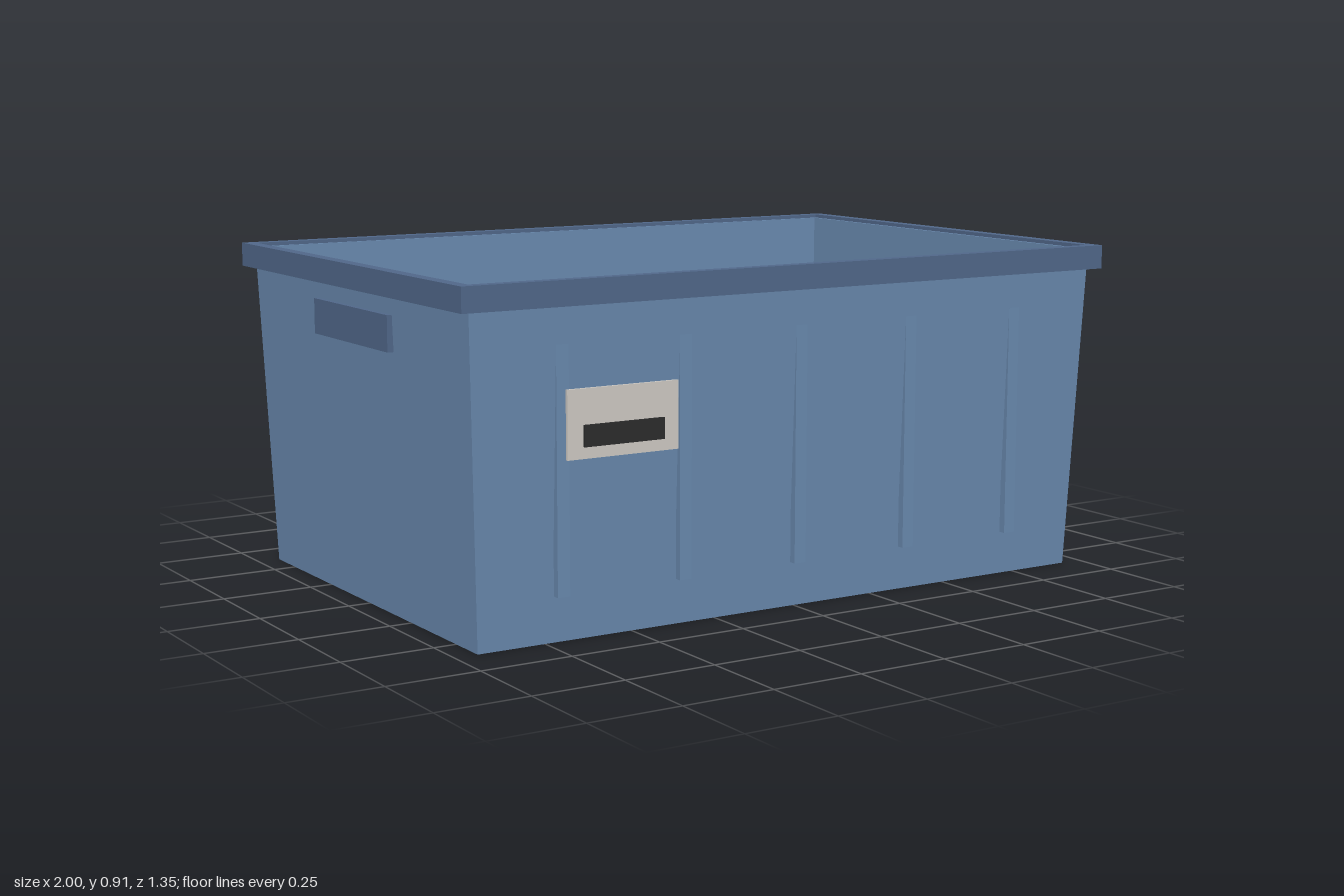
import * as THREE from 'three';
import { RoundedBoxGeometry } from 'three/addons/geometries/RoundedBoxGeometry.js';

const mat = (name, color) => {
  const m = new THREE.MeshStandardMaterial({ color });
  m.name = name;
  return m;
};

// Skin between successive rectangles [halfX, y, halfZ], with flat faces.
function rectangleLoft(rings) {
  const corners = [[1, 1], [1, -1], [-1, -1], [-1, 1]];
  const positions = [];
  const point = ([hx, y, hz], k) => [hx * corners[k % 4][0], y, hz * corners[k % 4][1]];
  for (let i = 0; i < rings.length - 1; i++) {
    for (let k = 0; k < 4; k++) {
      const a = point(rings[i], k), b = point(rings[i], k + 1);
      const c = point(rings[i + 1], k + 1), d = point(rings[i + 1], k);
      if (rings[i][0] > 0) positions.push(...a, ...b, ...c);
      if (rings[i + 1][0] > 0) positions.push(...a, ...c, ...d);
    }
  }
  const geometry = new THREE.BufferGeometry();
  geometry.setAttribute('position', new THREE.Float32BufferAttribute(positions, 3));
  geometry.computeVertexNormals();
  return geometry;
}

export function createModel() {
  const group = new THREE.Group();
  group.name = 'storageBin';

  const shellBlue = mat('shell blue', 0x6888ad);
  const rimBlue = mat('rim blue', 0x506789);
  const cardboard = mat('cardboard tan', 0xb09572);
  const red = mat('red', 0xc54f47);
  const paleGrey = mat('pale grey', 0xcdc9c3);
  const brightBlue = mat('bright blue', 0x4d80bd);
  const black = mat('black', 0x2b2b2b);

  const add = (name, geometry, material, x = 0, y = 0, z = 0) => {
    const mesh = new THREE.Mesh(geometry, material);
    mesh.name = name;
    mesh.position.set(x, y, z);
    group.add(mesh);
  };
  // Box given by its limits on each axis
  const addBox = (name, material, [x0, x1], [y0, y1], [z0, z1], bevel = 0) => {
    const size = [x1 - x0, y1 - y0, z1 - z0];
    const geometry = bevel
      ? new RoundedBoxGeometry(...size, 2, bevel)
      : new THREE.BoxGeometry(...size);
    add(name, geometry, material, (x0 + x1) / 2, (y0 + y1) / 2, (z0 + z1) / 2);
  };

  // Tapered hollow shell: underside, outer wall, lip, inner wall, floor
  add('shell', rectangleLoft([
    [0, 0, 0], [0.938, 0, 0.615], [0.97, 0.9, 0.651],
    [0.956, 0.9, 0.637], [0.926, 0.03, 0.605], [0, 0.03, 0],
  ]), shellBlue);

  // Rim band around the top
  add('rim', rectangleLoft([
    [0.966, 0.845, 0.644], [1, 0.845, 0.675], [1, 0.91, 0.675],
    [0.966, 0.91, 0.644], [0.966, 0.845, 0.644],
  ]), rimBlue);

  // Ribs and label holders on the front and back
  for (const [face, s] of [['front', 1], ['back', -1]]) {
    const depth = (a, b) => (s > 0 ? [a, b] : [-b, -a]);
    for (let i = -2; i <= 2; i++) {
      const x = i * 0.356;
      addBox(face + 'Rib', shellBlue, [x - 0.0175, x + 0.0175], [0.12, 0.75], depth(0.625, 0.645));
    }
    addBox(face + 'Label', paleGrey, [-0.71, -0.39], [0.465, 0.64], depth(0.656, 0.664));
    addBox(face + 'LabelStripe', black, [-0.665, -0.435], [0.495, 0.55], depth(0.664, 0.671));
  }

  // Grip on each end
  addBox('leftHandle', rimBlue, [0.96, 0.98], [0.7, 0.795], [-0.225, 0.225]);
  addBox('rightHandle', rimBlue, [-0.98, -0.96], [0.7, 0.795], [-0.225, 0.225]);

  // Boxes stored on the floor
  addBox('tanBox', cardboard, [-0.875, -0.465], [0.03, 0.675], [-0.435, 0.435], 0.015);
  addBox('redBox', red, [-0.435, -0.01], [0.03, 0.33], [-0.45, 0.435], 0.015);
  addBox('paleBox', paleGrey, [0.025, 0.465], [0.03, 0.29], [-0.46, 0.53], 0.015);
  addBox('blueBox', brightBlue, [0.505, 0.84], [0.03, 0.57], [-0.415, 0.585], 0.015);

  return group;
}
